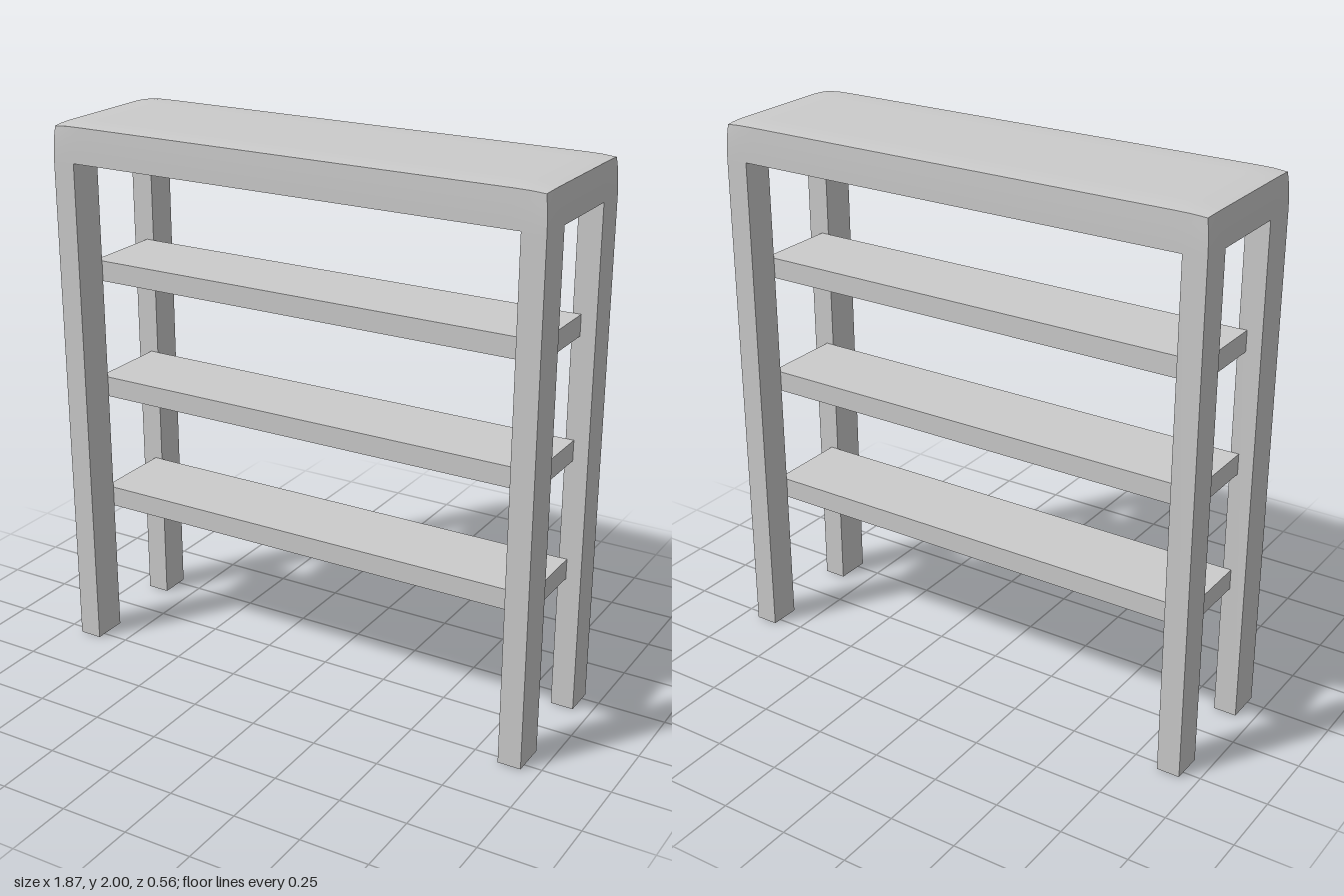
import * as THREE from 'three';
import { toCreasedNormals } from 'three/addons/utils/BufferGeometryUtils.js';

const HALF_X = 0.935, HALF_Z = 0.282, TOP = 2, UNDER = 1.866;

export function createModel() {
  const unit = new THREE.Group();
  unit.name = 'shelvingUnit';
  const material = new THREE.MeshStandardMaterial({ color: 0xcccccc });

  const add = (name, geometry, x, y, z) => {
    const mesh = new THREE.Mesh(geometry, material);
    mesh.name = name;
    mesh.position.set(x, y, z);
    unit.add(mesh);
  };

  // Thick top whose upper rim and corners are very slightly eased
  const thickness = TOP - UNDER;
  const topGeometry = new THREE.BoxGeometry(HALF_X * 2, thickness, HALF_Z * 2, 32, 4, 16);
  const p = topGeometry.attributes.position;
  const ease = (v, half) => Math.max(0, (Math.abs(v) - half + 0.1) / 0.1) ** 2;
  for (let i = 0; i < p.count; i++) {
    const x = p.getX(i), y = p.getY(i), z = p.getZ(i);
    const up = (y / thickness + 0.5) ** 2;
    const ex = ease(x, HALF_X), ez = ease(z, HALF_Z);
    p.setXYZ(i,
      x * (1 - 0.005 * up * ex * (1 + ez)),
      y - 0.005 * up * (ex + ez),
      z * (1 - 0.01 * up * ez * (1 + ex)));
  }
  add('top', toCreasedNormals(topGeometry, 0.6), 0, (TOP + UNDER) / 2, 0);

  // Hollow rectangular legs, open at the foot
  const rectangle = (path, w, d) => path.moveTo(-w / 2, -d / 2).lineTo(w / 2, -d / 2)
    .lineTo(w / 2, d / 2).lineTo(-w / 2, d / 2).closePath();
  const legGeometry = (w, d) => {
    const wall = 0.018;
    const shape = rectangle(new THREE.Shape(), w, d);
    shape.holes.push(rectangle(new THREE.Path(), w - 2 * wall, d - 2 * wall));
    return new THREE.ExtrudeGeometry(shape, { depth: UNDER, bevelEnabled: false }).rotateX(-Math.PI / 2);
  };
  const legInnerX = 0.85;
  const legPairs = [
    ['front', 0.15, HALF_Z],
    ['back', -HALF_Z, -0.165],
  ];
  for (const [row, z0, z1] of legPairs) {
    const geometry = legGeometry(HALF_X - legInnerX, z1 - z0);
    for (const side of [1, -1]) {
      add(row + (side > 0 ? 'LeftLeg' : 'RightLeg'), geometry,
        side * (HALF_X + legInnerX) / 2, 0, (z0 + z1) / 2);
    }
  }

  // Three shelves held between the front and back legs
  const shelfGeometry = new THREE.BoxGeometry(1.76, 0.076, 0.315);
  ['lowerShelf', 'middleShelf', 'upperShelf'].forEach((name, i) =>
    add(name, shelfGeometry, 0, 0.548 + i * 0.448, -0.0075));

  return unit;
}
